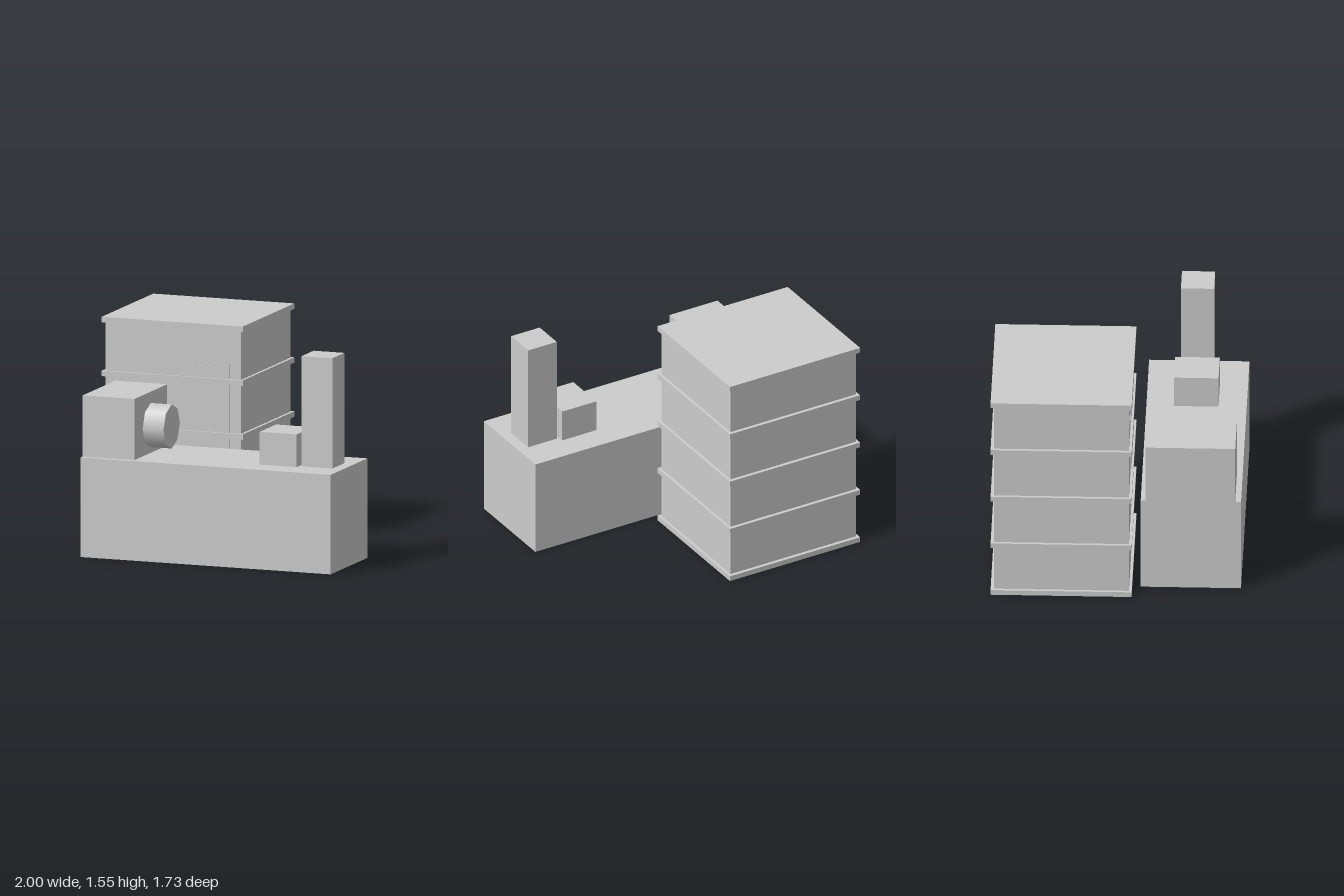
import * as THREE from 'three';

export function createModel() {
  const group = new THREE.Group();
  const grey = new THREE.MeshStandardMaterial({ color: 0xcccccc });
  grey.name = 'plainGrey';

  const add = (name, geometry, x, y, z) => {
    const mesh = new THREE.Mesh(geometry, grey);
    mesh.name = name;
    mesh.position.set(x, y, z);
    group.add(mesh);
    return mesh;
  };

  // Box given by its extents on each axis
  const block = (name, [x0, x1], [y0, y1], [z0, z1]) =>
    add(name, new THREE.BoxGeometry(x1 - x0, y1 - y0, z1 - z0),
      (x0 + x1) / 2, (y0 + y1) / 2, (z0 + z1) / 2);

  // Machine bed with headstock, tailstock and column
  block('machineBed', [-0.86, 1], [0, 0.7], [0.17, 0.865]);
  block('headstock', [-0.86, -0.475], [0.7, 1.13], [0.205, 0.825]);
  block('tailstock', [0.395, 0.67], [0.7, 0.93], [0.36, 0.67]);
  block('column', [0.69, 0.92], [0.7, 1.475], [0.4, 0.63]);

  // Eight-sided chuck on the headstock
  const chuck = new THREE.CylinderGeometry(0.155, 0.155, 0.155, 8);
  chuck.rotateZ(-Math.PI / 2);
  add('chuck', chuck, -0.3975, 0.895, 0.515);

  // Storeyed tower with projecting slabs
  block('towerBody', [-0.98, 0.03], [0.01, 1.54], [-0.84, 0.093]);
  for (let i = 0; i < 5; i++) {
    const y = i * 0.379;
    block('floorSlab' + (i + 1), [-1, 0.05], [y, y + 0.038], [-0.865, 0.112]);
  }

  // Thin panels on the tower front
  block('smallPanel', [-0.87, -0.784], [1.288, 1.352], [0.09, 0.098]);
  block('largePanel', [-0.595, -0.056], [0.585, 1.283], [0.09, 0.098]);

  return group;
}
